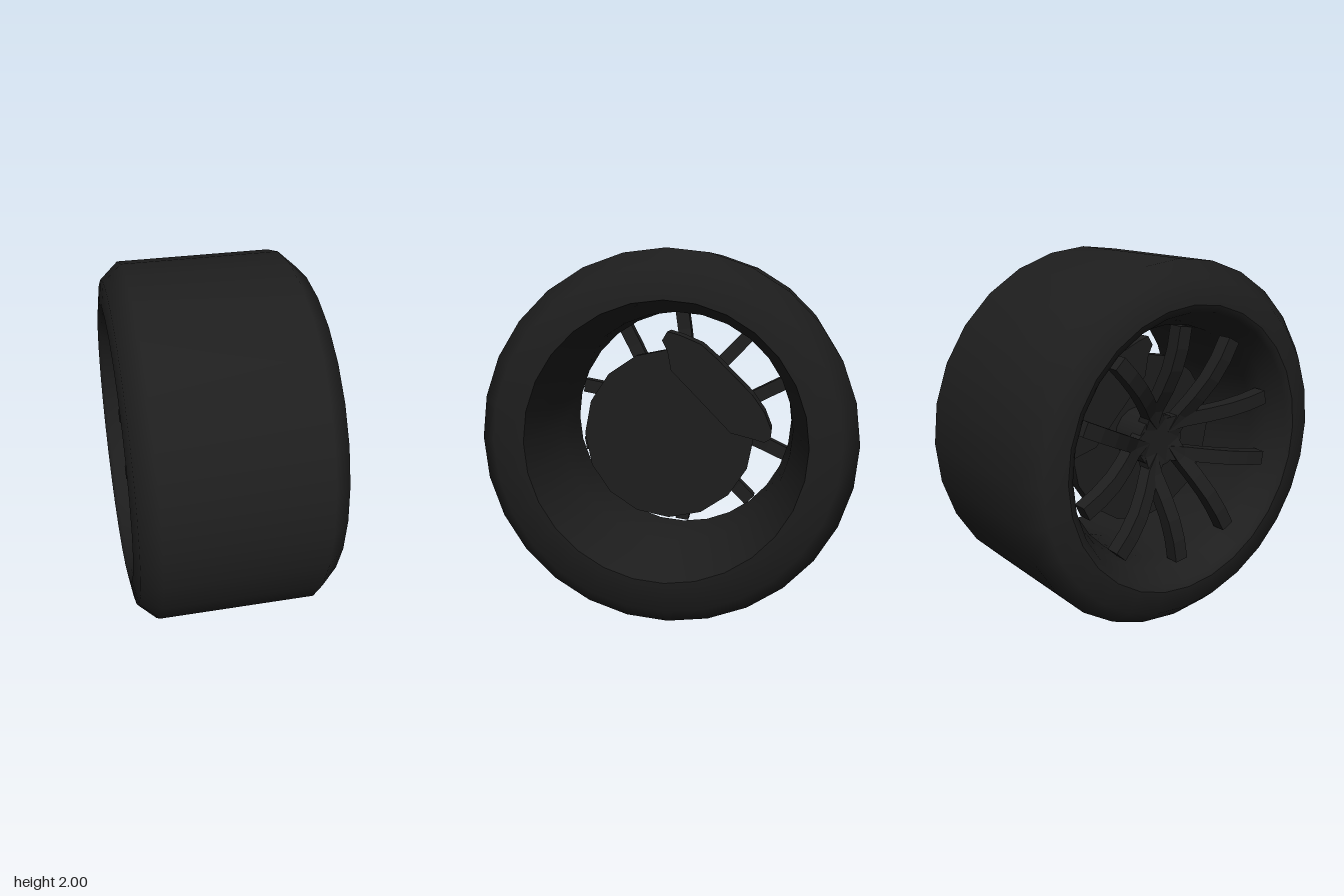
import * as THREE from 'three';

const material = new THREE.MeshStandardMaterial({ color: 0x1e1e1e });
const V = (x, y) => new THREE.Vector2(x, y);

// The axle runs along local z; local +z is the outer, spoked side.
function lathe(name, points) {
  const geometry = new THREE.LatheGeometry(points.map(p => V(...p)), 28).rotateX(Math.PI / 2);
  const mesh = new THREE.Mesh(geometry, material);
  mesh.name = name;
  return mesh;
}

function disc(name, radius, back, front, sides) {
  const geometry = new THREE.CylinderGeometry(radius, radius, front - back, sides).rotateX(Math.PI / 2);
  const mesh = new THREE.Mesh(geometry, material);
  mesh.position.z = (back + front) / 2;
  mesh.name = name;
  return mesh;
}

// Arched side profile (radius, depth), extruded to the spoke's width
function spokeGeometry(width) {
  const front = [[0.05, 0.29], [0.16, 0.32], [0.28, 0.385], [0.4, 0.435], [0.52, 0.46], [0.64, 0.465]];
  const back = front.map(([r, d]) => [r, d - 0.08]).reverse();
  const shape = new THREE.Shape([...back, ...front].map(p => V(...p)));
  return new THREE.ExtrudeGeometry(shape, { depth: width, bevelEnabled: false })
    .translate(0, 0, -width / 2)
    .rotateX(Math.PI / 2);
}

export function createModel() {
  const model = new THREE.Group();
  model.name = 'wheel';
  const wheel = new THREE.Group();
  wheel.name = 'wheelAssembly';
  wheel.rotation.y = -Math.PI / 2;
  wheel.position.y = 1;
  model.add(wheel);

  // Tyre tread and sidewalls
  wheel.add(lathe('tyre', [
    [0.74, -0.545], [0.91, -0.52], [1, -0.42], [1, 0.43], [0.91, 0.53], [0.78, 0.55],
  ]));

  // Rim lip and barrel, facing inward
  wheel.add(lathe('rim', [
    [0.78, 0.55], [0.74, 0.53], [0.69, 0.42], [0.65, 0.33], [0.66, -0.05], [0.74, -0.545],
  ]));

  // Hub
  wheel.add(disc('hub', 0.15, 0.06, 0.29, 16));

  // Five pairs of spokes, spreading towards the rim
  const geometry = spokeGeometry(0.08);
  for (let i = 0; i < 5; i++) {
    const pair = new THREE.Group();
    pair.name = 'spokePair';
    pair.rotation.z = i * Math.PI * 2 / 5;
    for (const side of [-1, 1]) {
      const spoke = new THREE.Mesh(geometry, material);
      spoke.name = 'spoke';
      spoke.position.y = side * 0.072;
      spoke.rotation.z = side * Math.PI / 18;
      pair.add(spoke);
    }
    wheel.add(pair);
  }

  // Brake disc, slightly off the axle
  const brake = disc('brakeDisc', 0.49, 0, 0.08, 16);
  brake.position.x = 0.05;
  brake.position.y = -0.045;
  wheel.add(brake);

  // Brake caliper clamped over the disc edge
  const outline = [
    [0.08, 0.5], [0.05, 0.55], [-0.02, 0.53], [-0.14, 0.48], [-0.23, 0.4], [-0.43, 0.2], [-0.5, 0.1],
    [-0.54, 0], [-0.535, -0.05], [-0.5, -0.07], [-0.43, -0.05], [-0.31, -0.02], [-0.05, 0.25], [0.03, 0.33], [0.05, 0.44],
  ];
  const caliper = new THREE.Mesh(
    new THREE.ExtrudeGeometry(new THREE.Shape(outline.map(p => V(...p))), { depth: 0.16, bevelEnabled: false }),
    material,
  );
  caliper.name = 'brakeCaliper';
  caliper.position.z = -0.04;
  wheel.add(caliper);

  return model;
}
